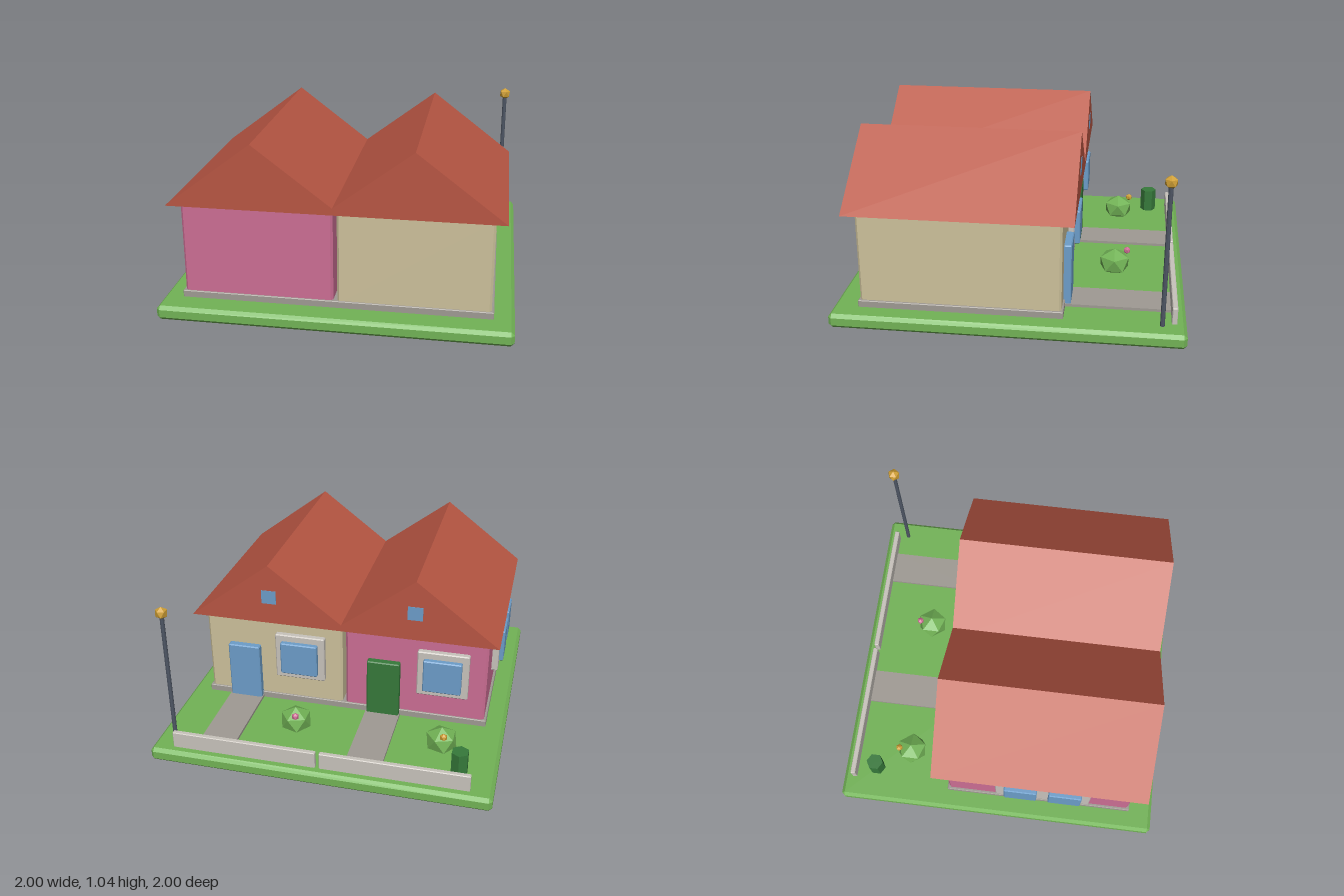
import * as THREE from 'three';
import { ConvexGeometry } from 'three/addons/geometries/ConvexGeometry.js';

const paint = (name, color) => {
  const m = new THREE.MeshStandardMaterial({ color });
  m.name = name;
  return m;
};

// Box given by its limits, with a single chamfer along every edge
function chamferBox([x0, x1], [y0, y1], [z0, z1], r = 0.01) {
  const h = [(x1 - x0) / 2, (y1 - y0) / 2, (z1 - z0) / 2];
  const points = [];
  for (const sx of [-1, 1]) for (const sy of [-1, 1]) for (const sz of [-1, 1]) {
    for (let axis = 0; axis < 3; axis++) {
      const p = h.map((v, i) => (i === axis ? v : v - r));
      points.push(new THREE.Vector3(p[0] * sx, p[1] * sy, p[2] * sz));
    }
  }
  return new ConvexGeometry(points).translate((x0 + x1) / 2, (y0 + y1) / 2, (z0 + z1) / 2);
}

// Faceted ball with a corner at the top
function facetBall(r, squash = 1) {
  return new THREE.IcosahedronGeometry(r, 0)
    .rotateZ(Math.atan(2 / (1 + Math.sqrt(5)))).rotateY(Math.PI)
    .scale(1, squash, 1).toNonIndexed();
}

export function createModel() {
  const grass = paint('grass green', 0x72b356);
  const roofRed = paint('roof red', 0xb85643);
  const pink = paint('pink', 0xcc6e94);
  const cream = paint('cream', 0xcdc19b);
  const stone = paint('stone grey', 0x9f9a93);
  const trim = paint('light grey', 0xc8c3bc);
  const blue = paint('blue', 0x6c9dc9);
  const darkGreen = paint('dark green', 0x36793a);
  const gold = paint('gold', 0xcf9f35);
  const slate = paint('slate', 0x4d5563);

  const model = new THREE.Group();
  model.name = 'semiDetachedHouses';
  const add = (parent, name, geometry, material) => {
    geometry.computeVertexNormals();
    const mesh = new THREE.Mesh(geometry, material);
    mesh.name = name;
    parent.add(mesh);
    return mesh;
  };
  const around = (c, w) => [c - w / 2, c + w / 2];

  // Plot and shared base
  add(model, 'lawn', chamferBox([-1, 1], [0, 0.085], [-1, 1], 0.02), grass);
  add(model, 'plinth', chamferBox([-0.885, 0.885], [0.07, 0.125], [-0.318, 0.853], 0.004), stone);

  // Two houses side by side, with entrances at the back
  const homes = [
    { name: 'pinkHouse', x: -0.441, wall: pink, door: darkGreen, flower: pink },
    { name: 'creamHouse', x: 0.441, wall: cream, door: blue, flower: gold },
  ];
  homes.forEach(({ name, x, wall, door }) => {
    const house = new THREE.Group();
    house.name = name;
    house.position.x = x;
    model.add(house);

    add(house, 'walls', chamferBox([-0.43, 0.43], [0.1, 0.67], [-0.307, 0.843], 0.013), wall);

    // Gable roof
    const gable = new THREE.Shape();
    gable.moveTo(-0.493, 0.663);
    gable.lineTo(0.493, 0.663);
    gable.lineTo(0, 1.038);
    gable.closePath();
    const roof = new THREE.ExtrudeGeometry(gable, { depth: 1.28, bevelEnabled: false });
    add(house, 'roof', roof.translate(0, 0, -0.375), roofRed);
    add(house, 'gableWindow', new THREE.BoxGeometry(0.09, 0.085, 0.006).translate(0, 0.835, -0.375), blue);

    // Door and window
    add(house, 'door', chamferBox(around(0.19, 0.2), [0.09, 0.462], [-0.35, -0.3], 0.006), door);
    add(house, 'windowFrame', chamferBox(around(-0.17, 0.31), [0.273, 0.568], [-0.342, -0.3], 0.006), trim);
    add(house, 'windowPane', chamferBox(around(-0.17, 0.23), [0.316, 0.526], [-0.374, -0.33], 0.006), blue);

    // Garden path and low wall
    add(house, 'path', new THREE.BoxGeometry(0.213, 0.03, 0.615).translate(0.191, 0.086, -0.608), stone);
    add(house, 'gardenWall', chamferBox([-0.43, 0.43], [0.075, 0.184], [-0.947, -0.917], 0.004), trim);
  });

  // Double window on the pink side wall
  const side = new THREE.Group();
  side.name = 'sideWindow';
  model.add(side);
  add(side, 'sideWindowFrame', chamferBox([-0.91, -0.86], [0.295, 0.59], around(0.29, 0.58), 0.006), trim);
  for (const dz of [-0.135, 0.135]) {
    add(side, 'sideWindowPane', chamferBox([-0.936, -0.9], [0.338, 0.546], around(0.29 + dz, 0.2), 0.006), blue);
  }

  // Bushes, each with one flower
  for (const [x, petal] of [[-0.655, gold], [0.23, pink]]) {
    const bush = new THREE.Group();
    bush.name = 'floweringBush';
    bush.position.set(x, 0.14, -0.583);
    model.add(bush);
    add(bush, 'leaves', facetBall(0.1, 0.85), grass);
    add(bush, 'flower', facetBall(0.023), petal).position.set(-0.02, 0.07, -0.074);
  }

  // Bin with six sides
  const bin = new THREE.CylinderGeometry(0.052, 0.052, 0.155, 6).toNonIndexed();
  add(model, 'bin', bin, darkGreen).position.set(-0.79, 0.154, -0.795);

  // Lamp post
  const lamp = new THREE.Group();
  lamp.name = 'streetLamp';
  lamp.position.set(0.892, 0, -0.865);
  model.add(lamp);
  add(lamp, 'post', new THREE.CylinderGeometry(0.013, 0.013, 0.84, 8).toNonIndexed(), slate).position.y = 0.49;
  add(lamp, 'lampBall', facetBall(0.038), gold).position.y = 0.928;

  return model;
}
